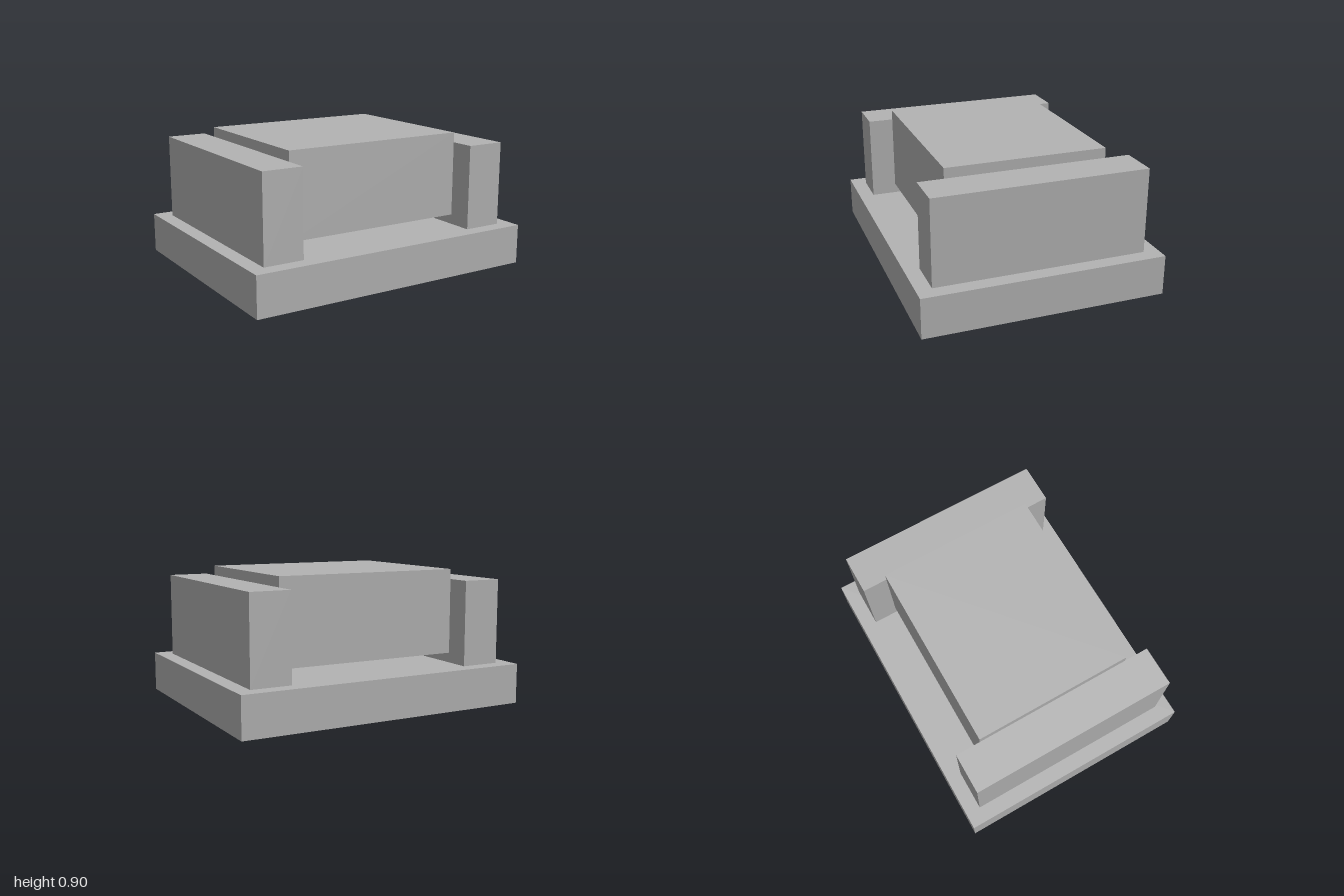
import * as THREE from 'three';

export function createModel() {
  const model = new THREE.Group();
  model.name = 'blockOnBase';

  const grey = new THREE.MeshStandardMaterial({ color: 0xb3b3b3 });
  grey.name = 'grey';

  // Box resting with its underside at height y
  function addBox(name, width, height, depth, x, y) {
    const mesh = new THREE.Mesh(new THREE.BoxGeometry(width, height, depth), grey);
    mesh.name = name;
    mesh.position.set(x, y + height / 2, 0);
    model.add(mesh);
  }

  // Wide slab at the bottom
  addBox('base', 2, 0.267, 1.6, 0, 0);

  // Side supports standing on the base
  for (const [name, side] of [['leftSupport', 1], ['rightSupport', -1]]) {
    addBox(name, 0.267, 0.566, 1.4, side * 0.7665, 0.267);
  }

  // Central block held between the supports, clear of the base
  addBox('centreBlock', 1.266, 0.567, 1.066, 0, 0.333);

  return model;
}
